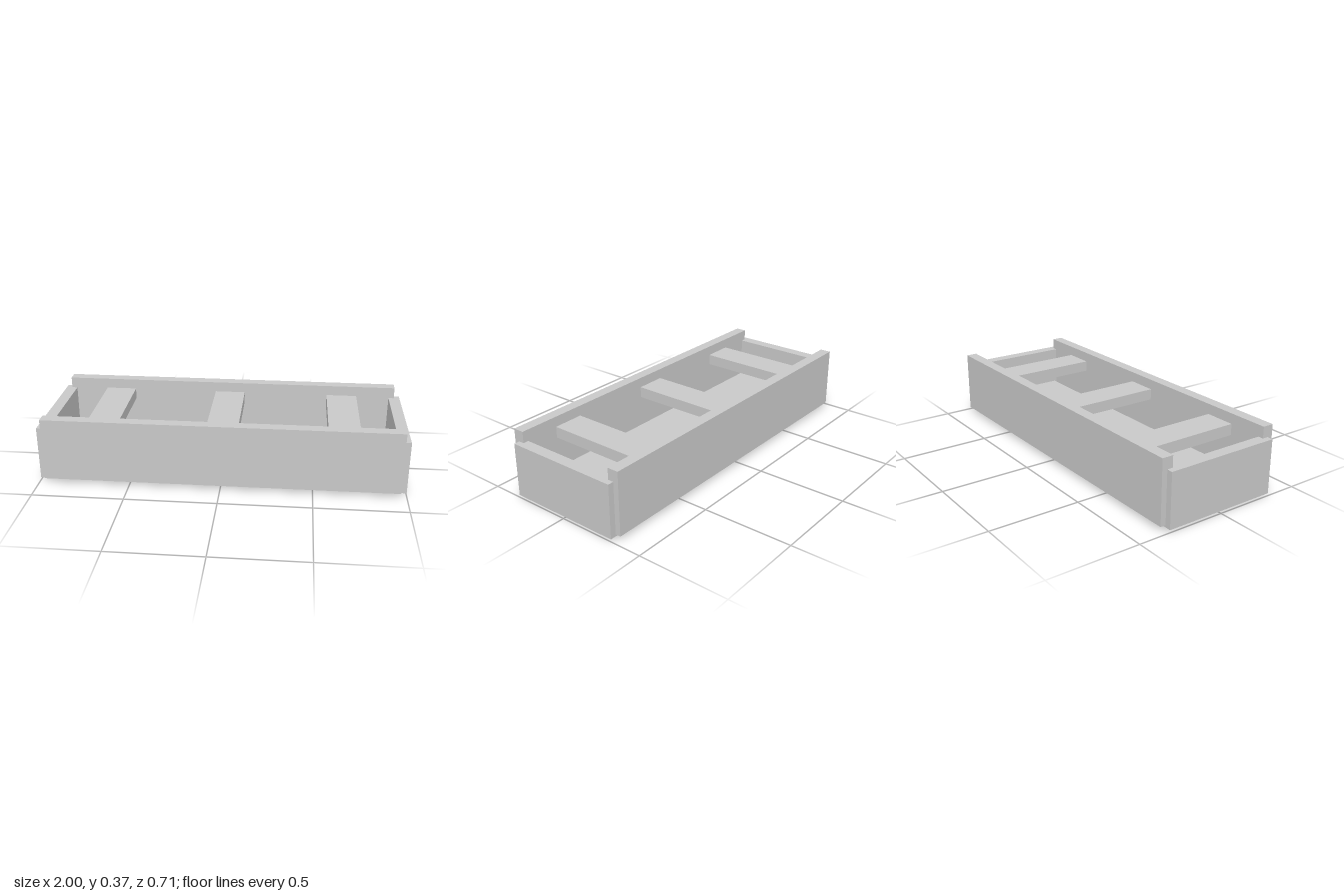
import * as THREE from 'three';

export function createModel() {
  const model = new THREE.Group();
  model.name = 'plankTray';
  const grey = new THREE.MeshStandardMaterial({ color: 0xc8c8c8 });
  grey.name = 'plain grey';

  // Plank given by its size and the centre of its underside
  function plank(name, w, h, d, x, y, z) {
    const mesh = new THREE.Mesh(new THREE.BoxGeometry(w, h, d), grey);
    mesh.name = name;
    mesh.position.set(x, y + h / 2, z);
    model.add(mesh);
  }

  // Floor board, lowest of all, with a slit along each long side
  plank('floorBoard', 1.87, 0.09, 0.546, 0, 0, 0);

  // Tall long boards at front and back
  for (const s of [1, -1]) {
    plank(s > 0 ? 'frontBoard' : 'backBoard', 1.934, 0.349, 0.062, 0, 0.025, s * 0.322);
  }

  // Lower end boards, lapped into the long boards
  for (const s of [1, -1]) {
    plank(s > 0 ? 'leftEndBoard' : 'rightEndBoard', 0.064, 0.297, 0.646, s * 0.968, 0.014, 0);
  }

  // Three slats across the top
  [-0.66, 0, 0.66].forEach((x, i) => {
    plank('crossSlat' + (i + 1), 0.174, 0.062, 0.582, x, 0.255, 0);
  });

  return model;
}
